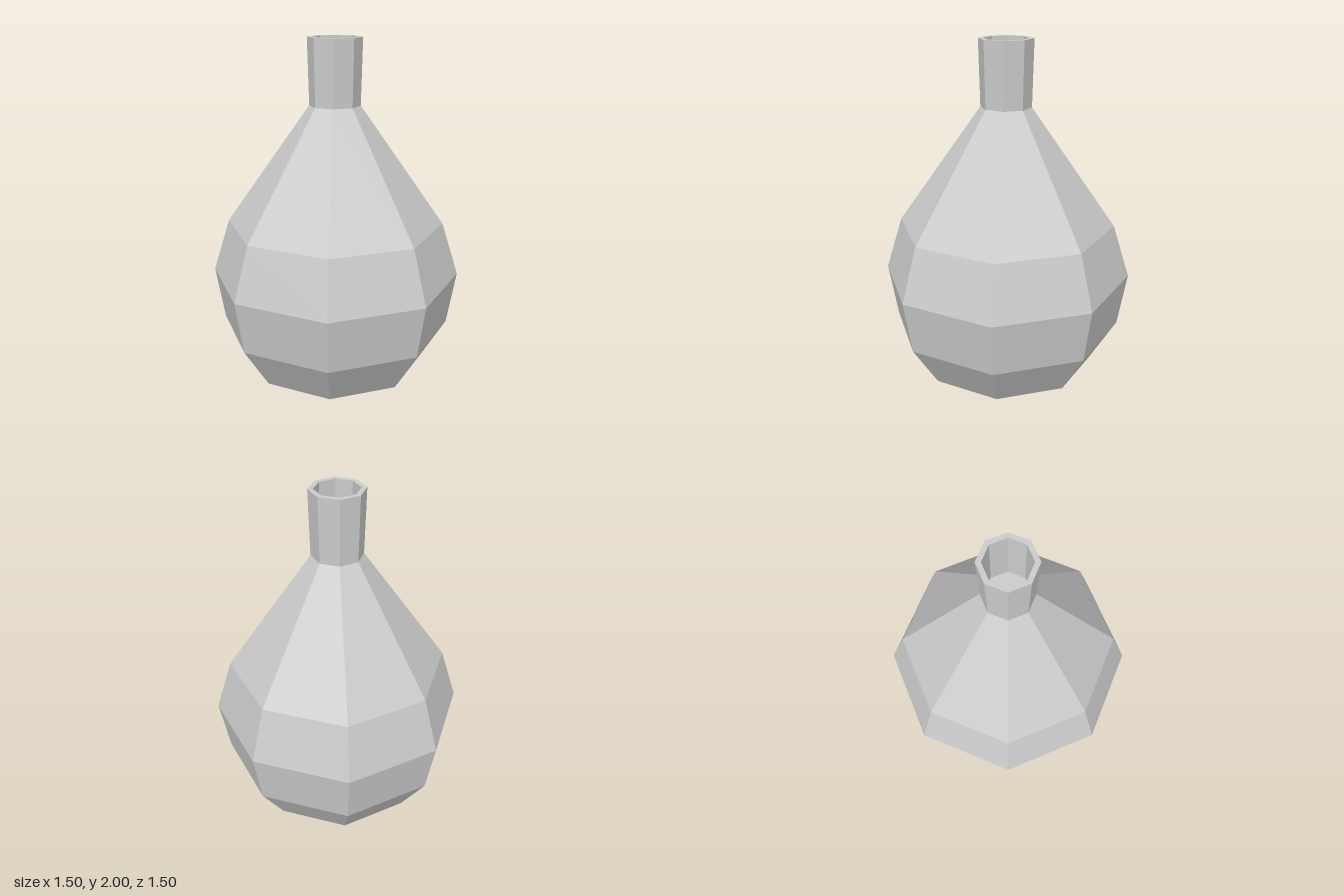
import * as THREE from 'three';

const SIDES = 8;
const material = new THREE.MeshStandardMaterial({ color: 0xcccccc, flatShading: true });

// Revolves a profile of [radius, height] pairs into a faceted mesh
function turned(name, profile) {
  const points = profile.map(([r, y]) => new THREE.Vector2(r, y));
  const mesh = new THREE.Mesh(new THREE.LatheGeometry(points, SIDES), material);
  mesh.name = name;
  return mesh;
}

export function createModel() {
  const group = new THREE.Group();
  group.name = 'flask';

  // Closed base, rounded belly and sloping shoulder
  group.add(turned('body', [[0, 0], [0.53, 0], [0.695, 0.26], [0.75, 0.58], [0.65, 0.9], [0.15, 1.61]]));

  // Slightly flared neck, flat rim and the straight bore with its floor
  group.add(turned('neck', [[0.15, 1.61], [0.16, 2], [0.13, 2], [0.13, 1.61], [0, 1.61]]));

  return group;
}
